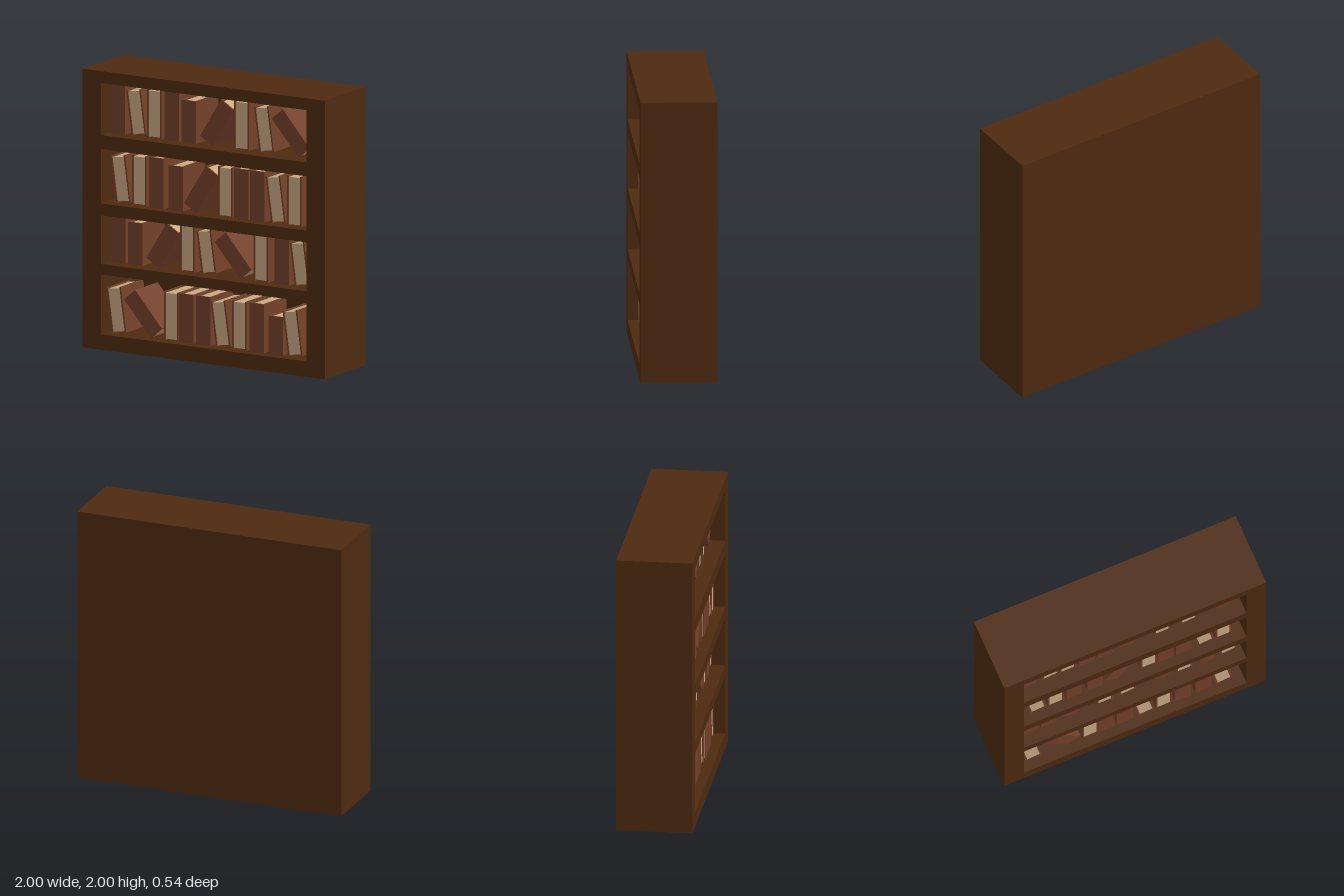
import * as THREE from 'three';

const wood = new THREE.MeshStandardMaterial({ color: 0x4e2a10 });
const leather = new THREE.MeshStandardMaterial({ color: 0x73402a });
const paper = new THREE.MeshStandardMaterial({ color: 0xcaa984 });

const DEPTH = 0.54, RECESS_BACK = -0.14, BOOK_W = 0.12, BOOK_D = 0.3;

// Ways a book can stand: tilt in degrees, height relative to the row, pages facing out
const poses = {
  upright: { tilt: 0, scale: 1 },
  turned: { tilt: 0, scale: 1, pagesOut: true },
  leaning: { tilt: 8, scale: 0.93, pagesOut: true },
  slanted: { tilt: -32, scale: 0.94 },
  fallen: { tilt: 41, scale: 0.96 },
};

// Openings, book heights and the x centres of the books in each pose
const shelves = [
  { floor: 1.54, top: 1.915, front: 0.17, height: 0.35, short: 0.305, shortX: -0.185,
    upright: [-0.77, -0.325], turned: [-0.47, 0.25], leaning: [-0.62, 0.435], slanted: [0.045], fallen: [0.655] },
  { floor: 1.05, top: 1.44, front: 0.2, height: 0.36, short: 0.32, shortX: -0.275,
    upright: [-0.435, 0.265, 0.4], turned: [-0.575, 0.135, 0.705], leaning: [-0.73, 0.55], slanted: [-0.065], fallen: [] },
  { floor: 0.615, top: 0.965, front: 0.18, height: 0.335, short: 0.305, shortX: -0.622,
    upright: [-0.76, 0.59], turned: [-0.192, 0.415], leaning: [-0.035, 0.735], slanted: [-0.395], fallen: [0.185] },
  { floor: 0.11, top: 0.54, front: 0.2, height: 0.35, short: 0.275, shortX: 0.55,
    upright: [-0.187, -0.047, 0.395], turned: [-0.312, 0.25], leaning: [-0.765, 0.095, 0.69], slanted: [], fallen: [-0.545] },
];

function box(name, w, h, d, x, y, z, material) {
  const mesh = new THREE.Mesh(new THREE.BoxGeometry(w, h, d), material);
  mesh.name = name;
  mesh.position.set(x, y, z);
  return mesh;
}

// Bound book with its spine towards +z
function makeBook(height) {
  const book = new THREE.Group();
  book.name = 'book';
  const board = 0.012;
  for (const side of [-1, 1]) {
    book.add(box('coverBoard', board, height, BOOK_D, side * (BOOK_W - board) / 2, 0, 0, leather));
  }
  book.add(box('spine', BOOK_W - 2 * board, height, board, 0, 0, (BOOK_D - board) / 2, leather));
  book.add(box('pages', BOOK_W - 2 * board, height - 0.02, BOOK_D - board - 0.006, 0, 0, -(board - 0.006) / 2, paper));
  return book;
}

// Place a book with its lowest corner resting on the shelf
function placeBook(shelf, x, height, { tilt, pagesOut }) {
  const angle = THREE.MathUtils.degToRad(tilt);
  const lift = (height * Math.cos(angle) + BOOK_W * Math.abs(Math.sin(angle))) / 2;
  const book = makeBook(height);
  book.position.set(x, shelf.floor + lift + 0.001, shelf.front - BOOK_D / 2);
  book.rotation.set(0, pagesOut ? Math.PI : 0, angle, 'ZYX');
  return book;
}

// Rectangular outline for the frame and its openings
function rectangle(Type, x0, y0, x1, y1) {
  return new Type().moveTo(x0, y0).lineTo(x1, y0).lineTo(x1, y1).lineTo(x0, y1).lineTo(x0, y0);
}

export function createModel() {
  const model = new THREE.Group();
  model.name = 'bookcase';

  // Frame with four openings, closed by a solid back
  const outline = rectangle(THREE.Shape, -1, 0, 1, 2);
  for (const s of shelves) outline.holes.push(rectangle(THREE.Path, -0.85, s.floor, 0.85, s.top));
  const frame = new THREE.Mesh(
    new THREE.ExtrudeGeometry(outline, { depth: DEPTH / 2 - RECESS_BACK, bevelEnabled: false }), wood);
  frame.name = 'frame';
  frame.position.z = RECESS_BACK;
  const backDepth = RECESS_BACK + DEPTH / 2;
  model.add(frame, box('backPanel', 2, 2, backDepth, 0, 1, (RECESS_BACK - DEPTH / 2) / 2, wood));

  // Rows of books, one shorter volume in each
  for (const s of shelves) {
    const row = new THREE.Group();
    row.name = 'bookRow';
    row.add(placeBook(s, s.shortX, s.short, poses.upright));
    for (const [name, pose] of Object.entries(poses)) {
      for (const x of s[name]) row.add(placeBook(s, x, s.height * pose.scale, pose));
    }
    model.add(row);
  }
  return model;
}
